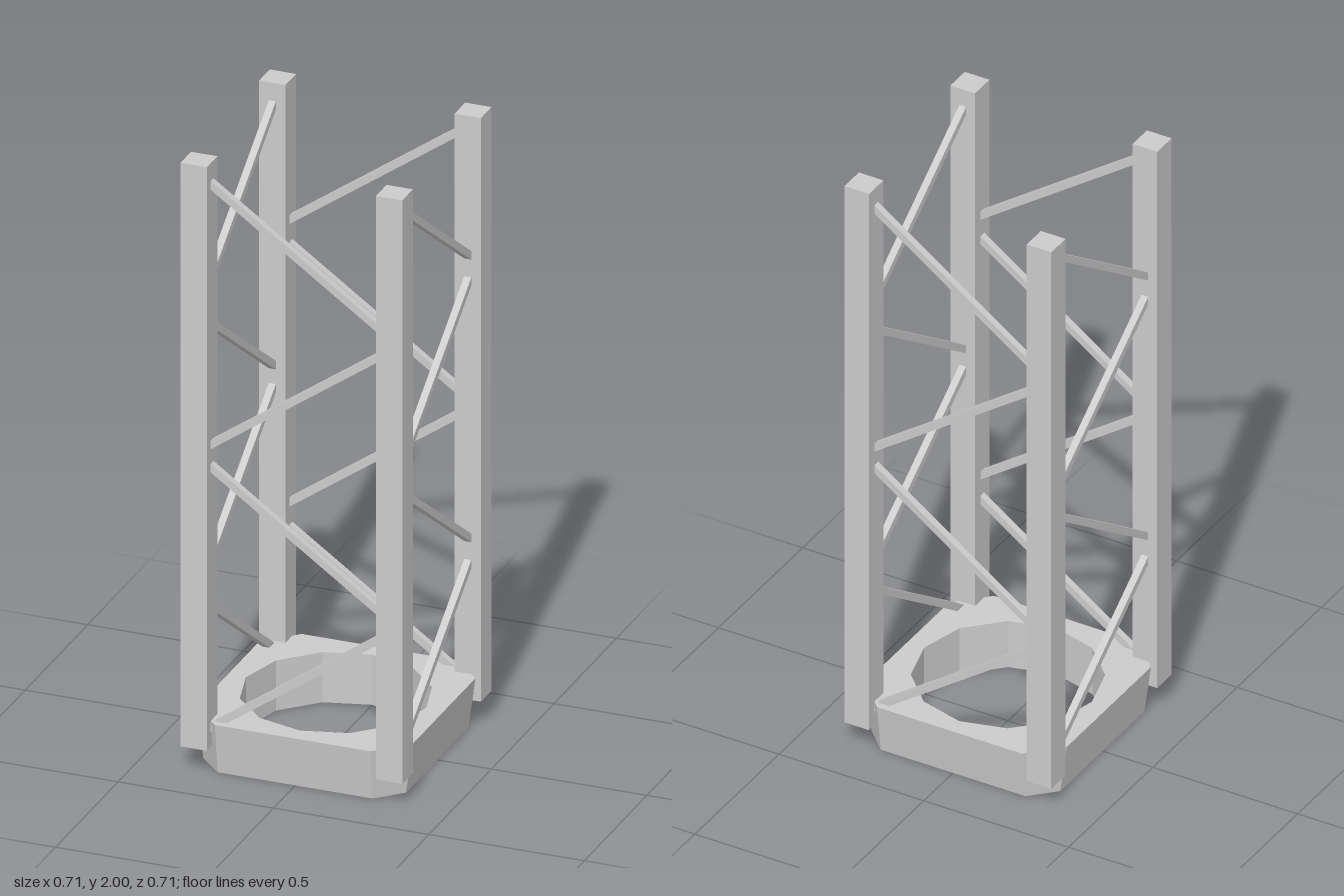
import * as THREE from 'three';

const material = new THREE.MeshStandardMaterial({ color: 0xcccccc, flatShading: true });

function addMesh(parent, name, geometry) {
  const mesh = new THREE.Mesh(geometry, material);
  mesh.name = name;
  parent.add(mesh);
  return mesh;
}

// Chamfered square ring with a twelve-sided hole, narrowing towards the ground
function baseGeometry() {
  const flat = 0.25, top = 0.348, bottom = 0.326, height = 0.165;
  const shape = new THREE.Shape([
    [flat, -top], [top, -flat], [top, flat], [flat, top],
    [-flat, top], [-top, flat], [-top, -flat], [-flat, -top],
  ].map(([x, y]) => new THREE.Vector2(x, y)));
  const hole = [];
  for (let i = 0; i < 12; i++) {
    const a = -i * Math.PI / 6;
    hole.push(new THREE.Vector2(0.29 * Math.cos(a), 0.29 * Math.sin(a)));
  }
  shape.holes.push(new THREE.Path(hole));
  const geometry = new THREE.ExtrudeGeometry(shape, { depth: height, bevelEnabled: false });
  geometry.rotateX(-Math.PI / 2);
  const p = geometry.attributes.position;
  for (let i = 0; i < p.count; i++) {
    if (p.getY(i) > 0.01) continue;
    const x = p.getX(i), z = p.getZ(i);
    if (Math.abs(x) > 0.34) p.setX(i, Math.sign(x) * bottom);
    if (Math.abs(z) > 0.34) p.setZ(i, Math.sign(z) * bottom);
  }
  geometry.computeVertexNormals();
  return geometry;
}

export function createModel() {
  const model = new THREE.Group();
  model.name = 'latticeTower';
  addMesh(model, 'base', baseGeometry());

  const offset = 0.3145, postWidth = 0.085, postBottom = 0.08;
  const postGeometry = new THREE.BoxGeometry(postWidth, 2 - postBottom, postWidth);

  // Braces zigzag up each side, ending just inside the posts
  const reach = 0.28, slope = 0.705, thickness = 0.023;
  const braceLength = 2 * reach * Math.hypot(1, slope);
  const braceGeometry = new THREE.BoxGeometry(braceLength, thickness, thickness);
  const braceHeights = [0.335, 0.805, 1.265, 1.735];

  // Four equal sides, each with one post and its braces
  for (let i = 0; i < 4; i++) {
    const side = new THREE.Group();
    side.name = 'side' + (i + 1);
    side.rotation.y = i * Math.PI / 2;
    model.add(side);

    addMesh(side, 'post', postGeometry).position.set(offset, (2 + postBottom) / 2, offset);
    braceHeights.forEach((y, k) => {
      const brace = addMesh(side, 'brace', braceGeometry);
      brace.position.set(0, y, offset);
      brace.rotation.z = (k % 2 ? -1 : 1) * Math.atan(slope);
    });
  }
  return model;
}
